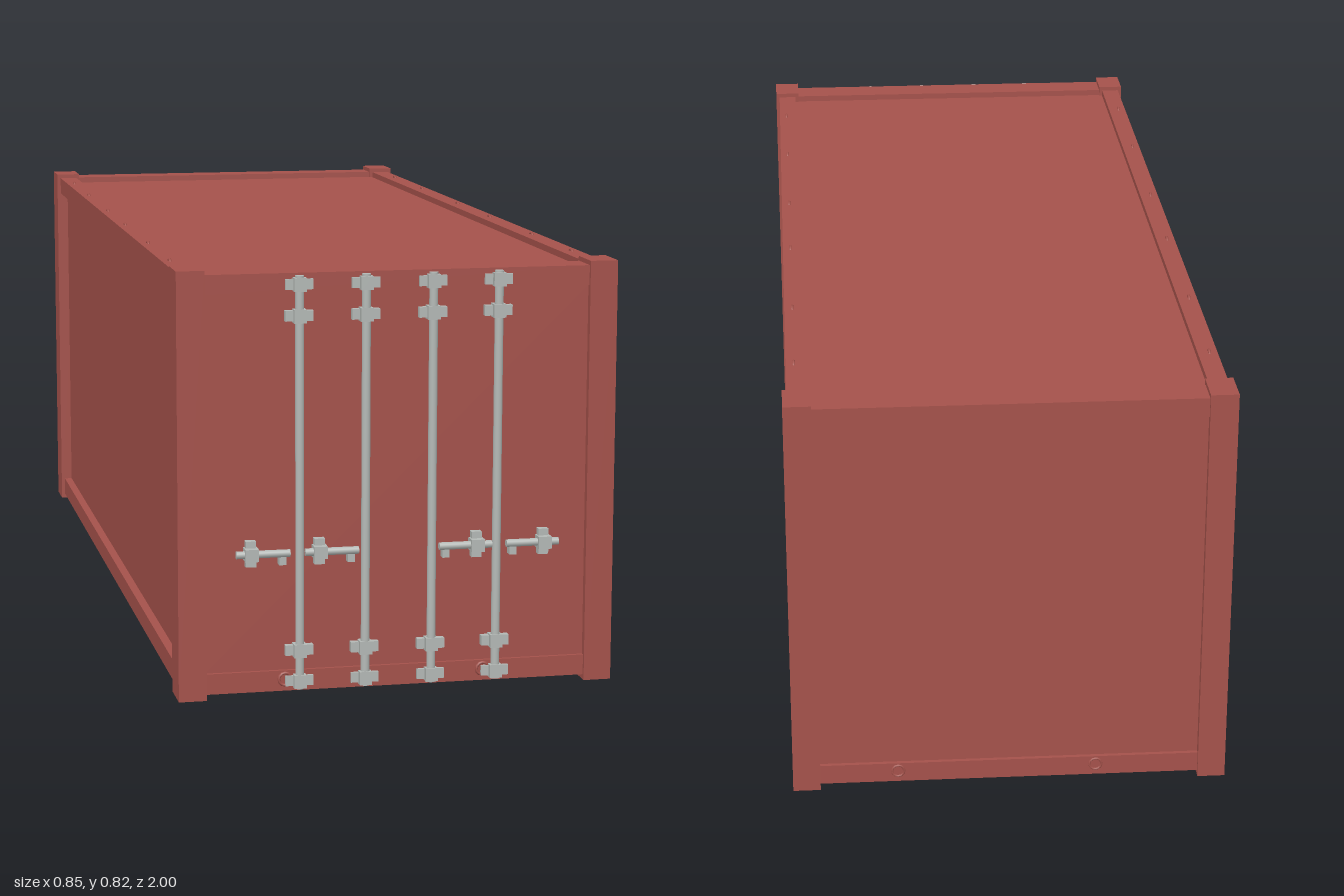
import * as THREE from 'three';

export function createModel() {
  const root = new THREE.Group();
  const red = new THREE.MeshStandardMaterial({ color: 0xa5524b });
  red.name = 'container red';
  const steel = new THREE.MeshStandardMaterial({ color: 0xb4b9b6 });
  steel.name = 'galvanised steel';

  const add = (parent, name, geometry, material, x, y, z) => {
    const mesh = new THREE.Mesh(geometry, material);
    mesh.name = name;
    mesh.position.set(x, y, z);
    parent.add(mesh);
    return mesh;
  };
  // Box given by its limits on each axis
  const span = (parent, name, material, [x0, x1], [y0, y1], [z0, z1]) =>
    add(parent, name, new THREE.BoxGeometry(x1 - x0, y1 - y0, z1 - z0), material,
      (x0 + x1) / 2, (y0 + y1) / 2, (z0 + z1) / 2);

  const front = 0.985, back = -1;

  // Corner posts with their castings
  for (const s of [-1, 1]) {
    for (const z of [[back, back + 0.08], [front - 0.08, front]]) {
      const x = s < 0 ? [-0.427, -0.373] : [0.373, 0.427];
      span(root, 'cornerPost', red, x, [0, 0.825], z);
    }
  }

  // Top and bottom rails
  for (const [level, y] of [['top', [0.778, 0.816]], ['bottom', [0.01, 0.05]]]) {
    for (const s of [-1, 1]) {
      const x = s < 0 ? [-0.419, -0.38] : [0.38, 0.419];
      span(root, level + 'SideRail', red, x, y, [-0.93, 0.915]);
    }
    span(root, level + 'FrontRail', red, [-0.38, 0.38], y, [0.91, 0.978]);
    span(root, level + 'BackRail', red, [-0.38, 0.38], y, [-0.993, -0.93]);
  }

  // Recessed panels
  span(root, 'roof', red, [-0.385, 0.385], [0.785, 0.803], [-0.935, 0.915]);
  span(root, 'floor', red, [-0.385, 0.385], [0.022, 0.045], [-0.935, 0.915]);
  span(root, 'leftWall', red, [0.385, 0.402], [0.045, 0.785], [-0.93, 0.915]);
  span(root, 'rightWall', red, [-0.402, -0.385], [0.045, 0.785], [-0.93, 0.915]);
  span(root, 'doors', red, [-0.38, 0.38], [0.045, 0.785], [0.945, 0.971]);
  span(root, 'backWall', red, [-0.38, 0.38], [0.045, 0.785], [-0.985, -0.965]);

  // Small lashing rings on the rails
  const ring = new THREE.TorusGeometry(0.012, 0.003, 6, 12);
  for (const x of [-0.403, 0.403]) {
    for (const z of [-0.77, -0.485, -0.145, 0.135, 0.47, 0.755]) {
      add(root, 'topLashingRing', ring, red, x, 0.807, z).rotation.y = Math.PI / 2;
      add(root, 'bottomLashingRing', ring, red, x, 0.019, z).rotation.y = Math.PI / 2;
    }
  }
  for (const x of [-0.22, 0.17]) {
    add(root, 'frontLashingRing', ring, red, x, 0.033, 0.978);
    add(root, 'backLashingRing', ring, red, -x, 0.033, -0.992);
  }

  // Locking rods with their guide brackets
  const rodShape = new THREE.CylinderGeometry(0.0085, 0.0085, 0.797, 16);
  for (const x of [-0.193, -0.065, 0.065, 0.193]) {
    const rod = new THREE.Group();
    rod.name = 'lockingRod';
    root.add(rod);
    add(rod, 'rod', rodShape, steel, x, 0.4135, 0.985);
    for (const y of [0.795, 0.735, 0.09, 0.03]) {
      const z0 = y > 0.1 && y < 0.75 || y === 0.09 ? 0.97 : 0.977;
      span(rod, 'bracketPlate', steel, [x - 0.027, x + 0.027], [y - 0.01, y + 0.01], [z0, 0.984]);
      span(rod, 'bracketClamp', steel, [x - 0.012, x + 0.012], [y - 0.013, y + 0.013], [z0, 0.995]);
    }
  }

  // Door handles, mirrored on the two doors
  const handleShape = new THREE.CylinderGeometry(0.0075, 0.0075, 0.104, 12).rotateZ(Math.PI / 2);
  for (const s of [-1, 1]) {
    for (const [middle, hub, tab] of [[0.264, 0.287, 0.226], [0.131, 0.154, 0.093]]) {
      const handle = new THREE.Group();
      handle.name = 'doorHandle';
      root.add(handle);
      add(handle, 'handleBar', handleShape, steel, s * middle, 0.282, 0.987);
      const hx = s * hub, tx = s * tab;
      span(handle, 'handleHub', steel, [hx - 0.01, hx + 0.01], [0.257, 0.307], [0.97, 0.986]);
      span(handle, 'handleClamp', steel, [hx - 0.013, hx + 0.013], [0.27, 0.294], [0.97, 1]);
      span(handle, 'handleTab', steel, [tx - 0.007, tx + 0.007], [0.259, 0.281], [0.97, 0.988]);
    }
  }
  return root;
}
